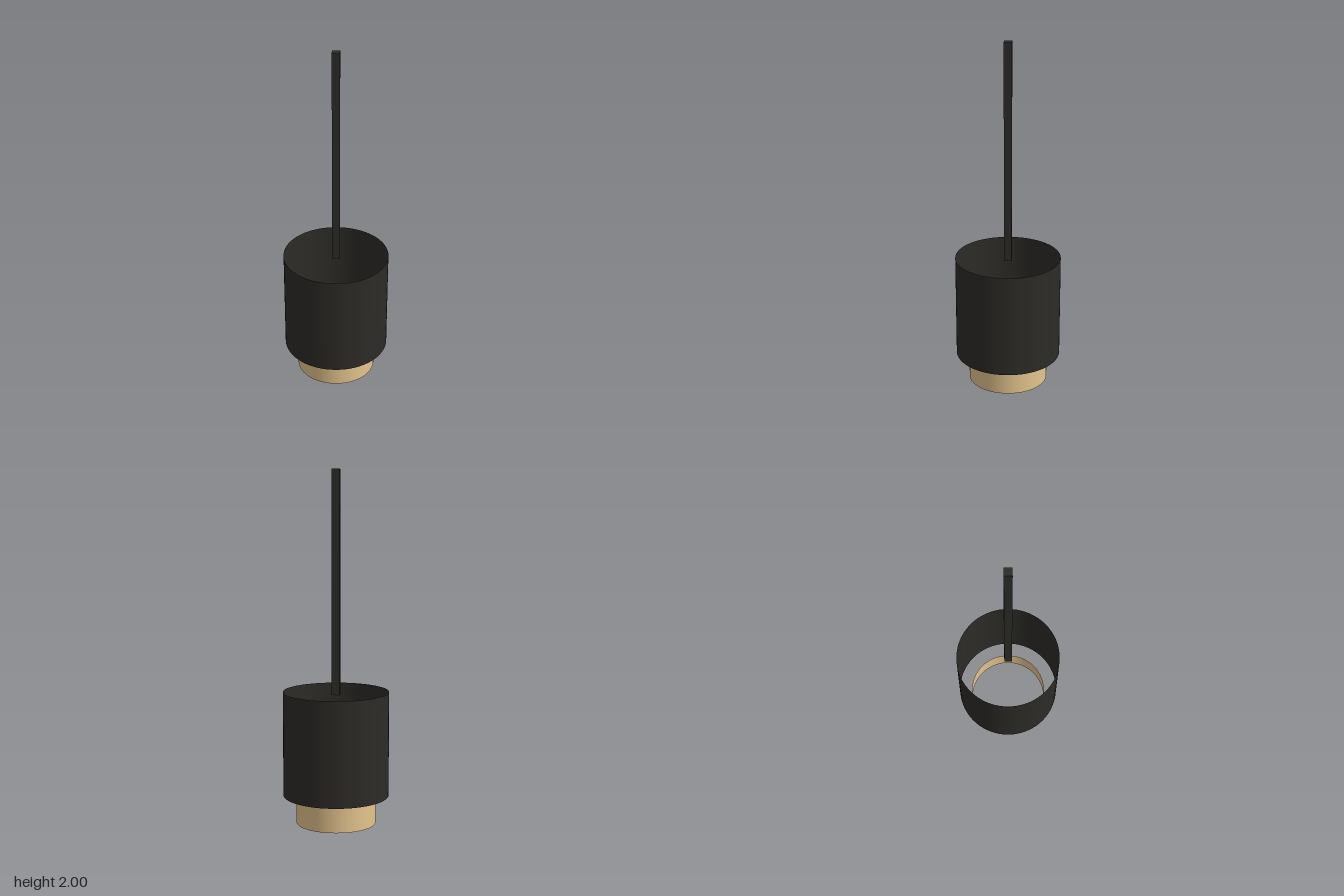
import * as THREE from 'three';

export function createModel() {
  const model = new THREE.Group();
  const black = new THREE.MeshStandardMaterial({ color: 0x2c2b27 });
  const blackSheet = new THREE.MeshStandardMaterial({ color: 0x2c2b27, side: THREE.DoubleSide });
  const brassSheet = new THREE.MeshStandardMaterial({ color: 0xe4c48e, side: THREE.DoubleSide });

  const add = (name, geometry, material, bottom, top) => {
    const mesh = new THREE.Mesh(geometry, material);
    mesh.name = name;
    mesh.position.y = (bottom + top) / 2;
    model.add(mesh);
  };

  // Thin sleeve, open at both ends
  const addSleeve = (name, radius, bottom, top, material) =>
    add(name, new THREE.CylinderGeometry(radius, radius, top - bottom, 64, 1, true), material, bottom, top);

  // Square hanging rod, ending just inside the top of the shade
  add('hangingRod', new THREE.BoxGeometry(0.044, 1.26, 0.044), black, 0.74, 2);

  // Dark shade with a smaller brass ring below it
  addSleeve('shade', 0.3, 0.16, 0.757, blackSheet);
  addSleeve('brassRing', 0.226, 0, 0.142, brassSheet);

  return model;
}
